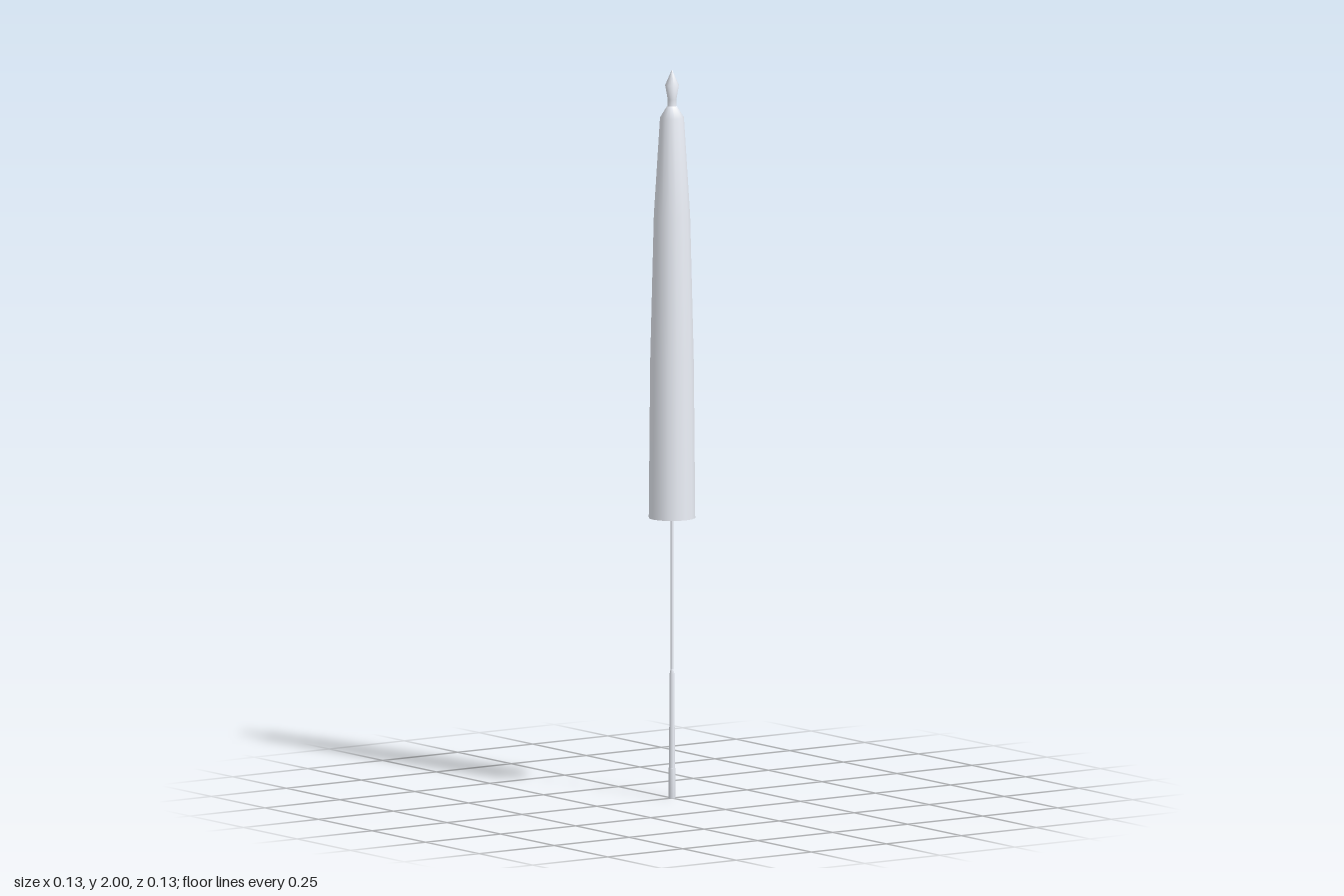
import * as THREE from 'three';

// Smooth turned part from a bottom-to-top list of [radius, height]
function turned(name, profile, sides, side = THREE.FrontSide) {
  const points = profile.map(([r, y]) => new THREE.Vector2(r, y));
  const material = new THREE.MeshStandardMaterial({ color: 0xecf0f8, side });
  const mesh = new THREE.Mesh(new THREE.LatheGeometry(points, sides), material);
  mesh.name = name;
  return mesh;
}

export function createModel() {
  const model = new THREE.Group();
  model.name = 'closedParasol';

  // Folded canopy, open underneath
  model.add(turned('canopy', [
    [0.064, 0.77], [0.06, 1.2], [0.05, 1.6], [0.033, 1.868], [0.013, 1.9],
  ], 16, THREE.DoubleSide));

  // Pointed finial
  model.add(turned('finial', [
    [0.013, 1.9], [0.012, 1.918], [0.019, 1.957], [0, 2],
  ], 16));

  // Thin shaft running up inside the canopy
  model.add(turned('shaft', [[0.0035, 0.34], [0.004, 1.9]], 8));

  // Grip, with a slightly wider end cap
  model.add(turned('grip', [
    [0.008, 0.083], [0.007, 0.34], [0.0035, 0.355],
  ], 8));
  model.add(turned('gripEnd', [
    [0, 0], [0.009, 0], [0.009, 0.083], [0.008, 0.083],
  ], 8));

  return model;
}
